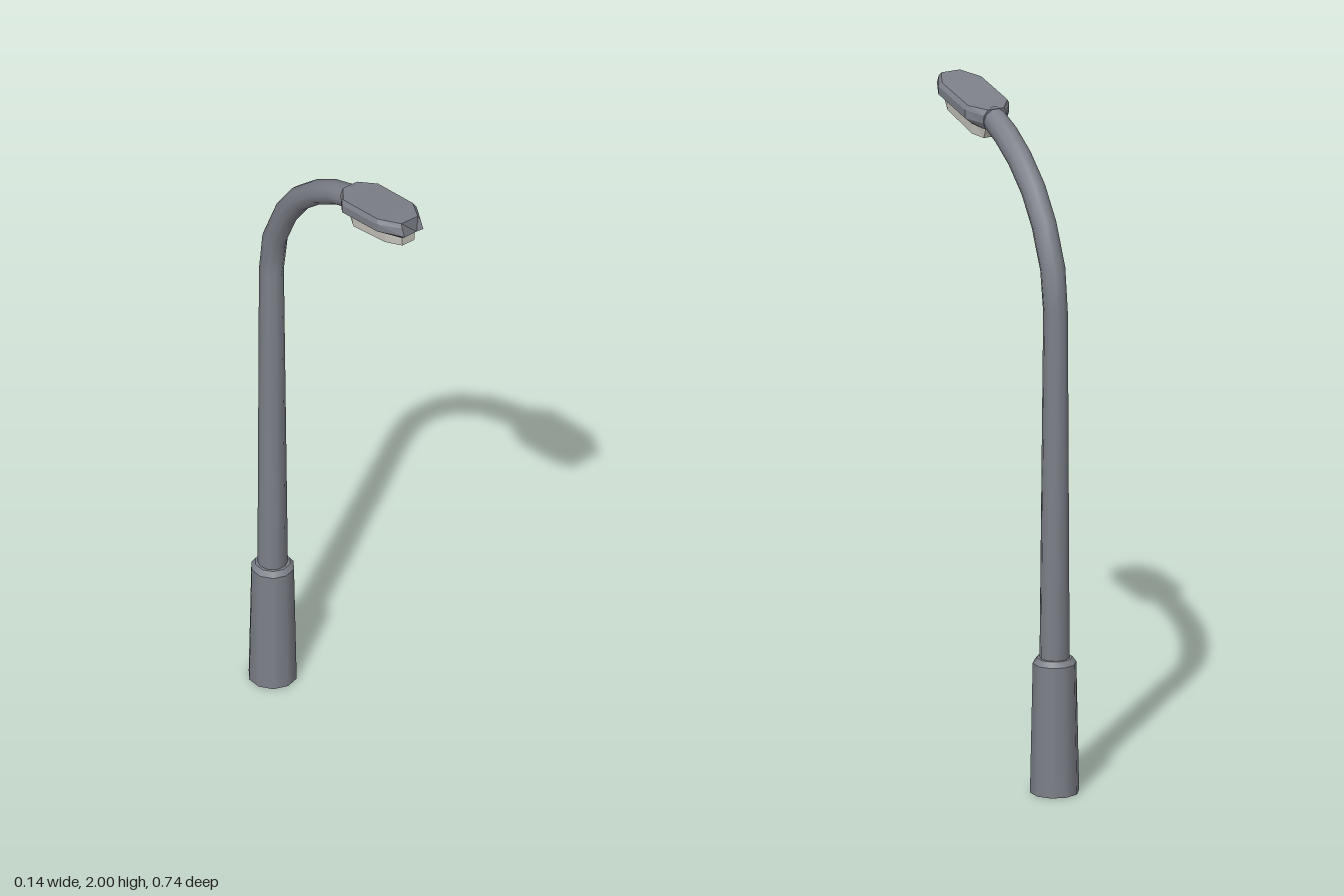
import * as THREE from 'three';

const SIDES = 10;
const POLE_Z = -0.298;

// Joins closed rings of [x, y, z] points, optionally closing both ends
function loft(rings, capped) {
  const n = rings[0].length;
  const index = [];
  for (let i = 0; i < rings.length - 1; i++) {
    for (let j = 0; j < n; j++) {
      const k = (j + 1) % n;
      const a = i * n + j, b = i * n + k;
      index.push(a, b, b + n, a, b + n, a + n);
    }
  }
  if (capped) {
    const e = (rings.length - 1) * n;
    for (let j = 1; j < n - 1; j++) {
      index.push(0, j + 1, j, e, e + j, e + j + 1);
    }
  }
  const geo = new THREE.BufferGeometry();
  geo.setAttribute('position', new THREE.Float32BufferAttribute(rings.flat(2), 3));
  geo.setIndex(index);
  geo.computeVertexNormals();
  return geo;
}

// Completes a ring from its +x half, listed top to bottom
const mirrorRing = (half) => [
  ...half.slice().reverse(),
  ...half.map(([x, y, z]) => [-x, y, z]),
];

// Round ring around a path point, square to the path (path lies in the yz plane)
function roundRing(path, i) {
  const [z, y, r] = path[i];
  const p = path[Math.max(i - 1, 0)], q = path[Math.min(i + 1, path.length - 1)];
  const t = new THREE.Vector2(q[0] - p[0], q[1] - p[1]).normalize();
  return Array.from({ length: SIDES }, (_, j) => {
    const a = (j / SIDES) * Math.PI * 2;
    const s = Math.sin(a) * r;
    return [Math.cos(a) * r, y + t.x * s, z - t.y * s];
  });
}

export function createModel() {
  const group = new THREE.Group();
  const metal = new THREE.MeshStandardMaterial({ color: 0x7d8089 });
  const metalFlat = new THREE.MeshStandardMaterial({ color: 0x7d8089, flatShading: true });
  const glass = new THREE.MeshStandardMaterial({ color: 0xc8c6bc, flatShading: true });

  const add = (name, geo, mat) => {
    const mesh = new THREE.Mesh(geo, mat);
    mesh.name = name;
    group.add(mesh);
    return mesh;
  };

  // Base sleeve and its bevelled top
  add('base', new THREE.CylinderGeometry(0.064, 0.072, 0.39, SIDES), metal)
    .position.set(0, 0.195, POLE_Z);
  add('baseCollar', new THREE.CylinderGeometry(0.052, 0.064, 0.016, SIDES), metal)
    .position.set(0, 0.398, POLE_Z);

  // Tapered pole bending forward into the arm: z, y, radius
  const path = [
    [POLE_Z, 0.38, 0.044], [-0.304, 1.45, 0.036], [-0.287, 1.576, 0.037],
    [-0.233, 1.695, 0.037], [-0.167, 1.783, 0.037], [-0.082, 1.854, 0.037],
    [0.003, 1.902, 0.037], [0.09, 1.934, 0.036],
  ];
  add('poleAndArm', loft(path.map((_, i) => roundRing(path, i)), false), metal);

  // Lamp housing: each section runs from top edge, down the rim, to underside
  const housing = [
    [[0.026, 1.963, 0.065], [0.0375, 1.945, 0.068], [0.0375, 1.922, 0.072], [0.026, 1.9, 0.078]],
    [[0.064, 1.968, 0.115], [0.072, 1.955, 0.12], [0.072, 1.93, 0.12], [0.05, 1.911, 0.12]],
    [[0.064, 1.993, 0.278], [0.072, 1.981, 0.285], [0.072, 1.957, 0.285], [0.05, 1.942, 0.28]],
    [[0.03, 2.0, 0.345], [0.034, 1.99, 0.354], [0.034, 1.965, 0.366], [0.026, 1.947, 0.345]],
  ];
  add('lampHousing', loft(housing.map(mirrorRing), true), metalFlat);

  // Lamp lens under the housing: z at top, z at bottom, half width, top y, bottom y
  const lens = [
    [0.08, 0.1, 0.023, 1.908, 1.868], [0.125, 0.135, 0.044, 1.918, 1.875],
    [0.285, 0.285, 0.044, 1.948, 1.905], [0.34, 0.339, 0.023, 1.955, 1.915],
  ];
  add('lampLens', loft(lens.map(([zt, zb, w, top, bottom]) =>
    mirrorRing([[w, top, zt], [w * 0.95, bottom, zb]])), true), glass);

  return group;
}
